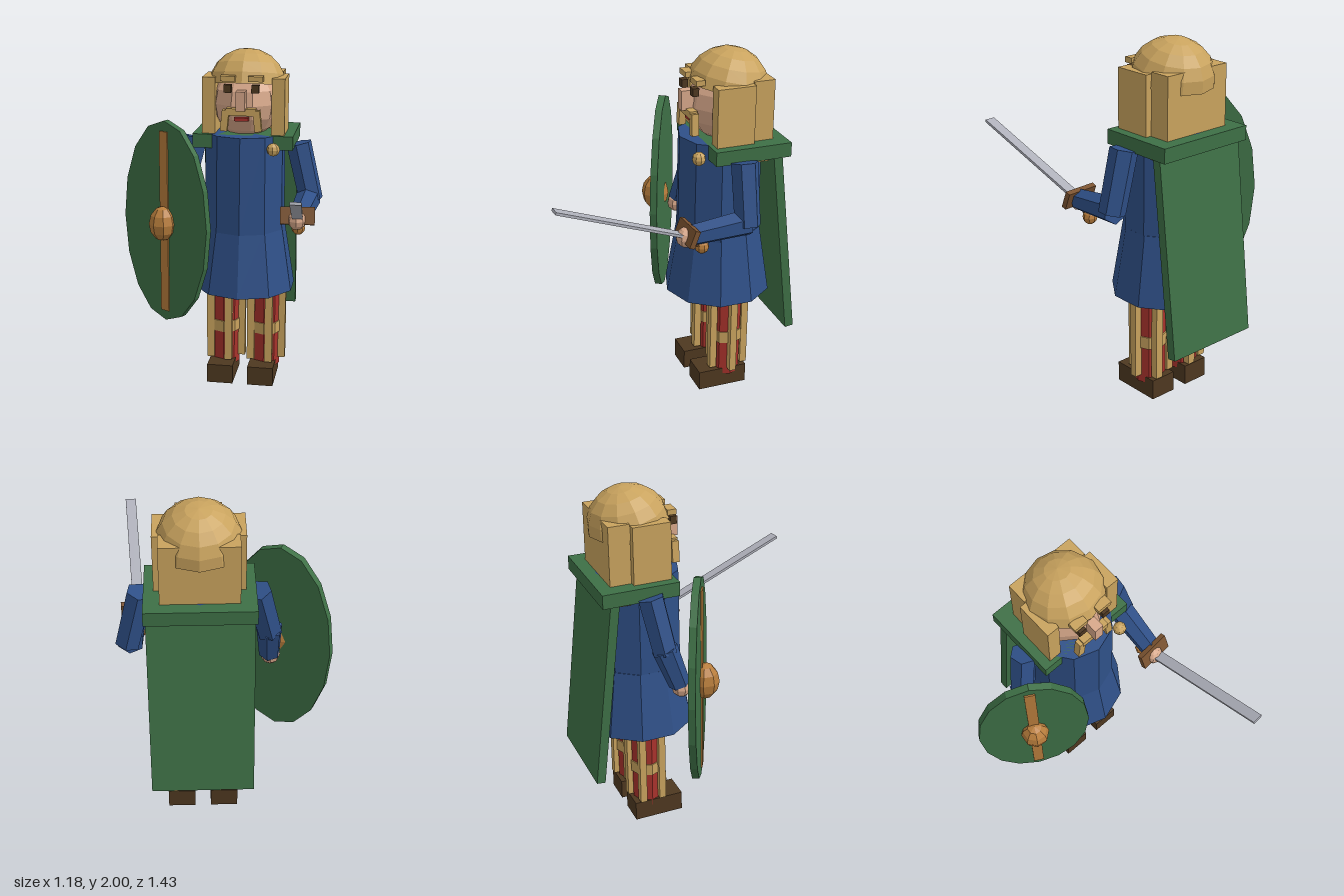
import * as THREE from 'three';

const mat = (name, color, extra = {}) => {
  const m = new THREE.MeshStandardMaterial({ color, flatShading: true, ...extra });
  m.name = name;
  return m;
};

export function createModel() {
  const blue = mat('tunic blue', 0x2f5088);
  const green = mat('cloak green', 0x3e7046);
  const red = mat('trouser red', 0xa8322c);
  const tan = mat('blond', 0xc9a35e, { side: THREE.DoubleSide });
  const skin = mat('skin', 0xd8a88a);
  const bronze = mat('bronze', 0xb87d3c);
  const brown = mat('guard brown', 0x7a5230);
  const dark = mat('dark leather', 0x4e3820);
  const steel = mat('steel', 0xaeb0ba);

  const model = new THREE.Group();
  const CX = 0.135; // body axis

  const add = (name, geo, material, x = 0, y = 0, z = 0, parent = model) => {
    const m = new THREE.Mesh(geo, material);
    m.name = name;
    m.position.set(x, y, z);
    parent.add(m);
    return m;
  };
  const box = (name, material, w, h, d, x, y, z, parent) =>
    add(name, new THREE.BoxGeometry(w, h, d), material, x, y, z, parent);
  const ball = (name, material, r, x, y, z, parent, ws = 8, hs = 6) =>
    add(name, new THREE.SphereGeometry(r, ws, hs), material, x, y, z, parent);
  // tapered six-sided limb between two points
  const limb = (name, material, a, b, ra, rb) => {
    const p = new THREE.Vector3(...a), q = new THREE.Vector3(...b);
    const dir = q.clone().sub(p);
    const m = add(name, new THREE.CylinderGeometry(rb, ra, dir.length(), 6), material);
    m.position.copy(p).add(q).multiplyScalar(0.5);
    m.quaternion.setFromUnitVectors(new THREE.Vector3(0, 1, 0), dir.normalize());
    return m;
  };

  // Tunic
  add('tunic body', new THREE.CylinderGeometry(0.235, 0.24, 0.57, 10), blue, CX, 1.245, -0.34);
  add('tunic skirt', new THREE.CylinderGeometry(0.24, 0.305, 0.39, 10), blue, CX, 0.785, -0.345);

  // Legs with gold stripes, bands and boots
  for (const [side, x] of [['right', 0.02], ['left', 0.265]]) {
    const leg = new THREE.Group();
    leg.name = side + ' leg';
    leg.position.set(x, 0, -0.355);
    model.add(leg);
    add('trouser', new THREE.CylinderGeometry(0.092, 0.086, 0.55, 8), red, 0, 0.355, 0, leg);
    add('leg band', new THREE.CylinderGeometry(0.096, 0.096, 0.07, 8), tan, 0, 0.33, 0, leg);
    for (let k = 0; k < 5; k++) {
      const a = (k * Math.PI * 2) / 5;
      box('trouser stripe', tan, 0.045, 0.48, 0.04, 0.1 * Math.cos(a), 0.365, 0.1 * Math.sin(a), leg);
    }
    box('boot', dark, 0.155, 0.115, 0.29, -0.008, 0.0575, 0.04, leg);
  }

  // Cloak
  box('cloak collar', green, 0.58, 0.08, 0.435, CX, 1.49, -0.42);
  const cape = box('cape', green, 0.56, 1.15, 0.05, CX, 0.945, -0.625);
  cape.rotation.x = 0.115;
  ball('brooch', tan, 0.038, 0.32, 1.465, -0.145);

  // Head and hair
  ball('head', skin, 0.2, CX, 1.7, -0.36, model, 10, 8).scale.y = 1.05;
  const cap = add('hair cap',
    new THREE.SphereGeometry(0.225, 12, 5, 0, Math.PI * 2, 0, Math.PI / 2), tan, CX, 1.79, -0.38);
  cap.scale.y = 0.95;
  cap.rotation.x = -0.2;
  box('back hair', tan, 0.41, 0.46, 0.12, CX, 1.635, -0.505);
  for (const s of [-1, 1]) {
    const X = CX + s * 0.2;
    box('side hair', tan, 0.075, 0.325, 0.215, X, 1.692, -0.335);
    box('eye', dark, 0.043, 0.045, 0.035, CX + s * 0.079, 1.805, -0.157);
    box('eyebrow', tan, 0.085, 0.03, 0.05, CX + s * 0.079, 1.86, -0.175);
    const tip = box('moustache end', tan, 0.04, 0.12, 0.04, CX + s * 0.093, 1.625, -0.152);
    tip.rotation.z = s * 0.1;
  }
  box('moustache', tan, 0.17, 0.04, 0.045, CX, 1.675, -0.152);
  box('nose', skin, 0.053, 0.11, 0.07, CX, 1.74, -0.14);
  box('mouth', red, 0.08, 0.02, 0.03, CX, 1.63, -0.167);

  // Sword arm
  limb('left upper arm', blue, [0.445, 1.465, -0.355], [0.525, 1.13, -0.35], 0.075, 0.072);
  limb('left forearm', blue, [0.51, 1.145, -0.36], [0.485, 1.105, -0.04], 0.075, 0.06);
  ball('left hand', skin, 0.055, 0.475, 1.095, -0.015);

  // Sword, blade along local z
  const sword = new THREE.Group();
  sword.name = 'sword';
  sword.position.set(0.477, 1.1, -0.03);
  sword.lookAt(0.535, 1.39, 0.715);
  model.add(sword);
  box('blade', steel, 0.06, 0.015, 0.79, 0, 0, 0.405, sword);
  box('crossguard', brown, 0.195, 0.1, 0.03, 0, 0.015, 0.015, sword);
  limb('grip', brown, [0.477, 1.1, -0.03], [0.475, 1.03, -0.1], 0.022, 0.022);
  ball('pommel', bronze, 0.04, 0.475, 1.025, -0.108);

  // Shield arm
  limb('right upper arm', blue, [-0.165, 1.475, -0.375], [-0.235, 1.17, -0.325], 0.075, 0.072);
  limb('right forearm', blue, [-0.235, 1.2, -0.33], [-0.245, 0.97, -0.25], 0.072, 0.06);
  ball('right hand', skin, 0.055, -0.25, 0.95, -0.24);

  // Oval shield, facing local z
  const shield = new THREE.Group();
  shield.name = 'shield';
  shield.position.set(-0.303, 1.003, -0.167);
  shield.rotation.y = -0.51;
  model.add(shield);
  const disc = new THREE.CylinderGeometry(1, 1, 0.04, 16).rotateX(Math.PI / 2).scale(0.316, 0.607, 1);
  add('shield board', disc, green, 0, 0, 0, shield);
  box('shield spine', bronze, 0.06, 1.09, 0.016, 0, 0, 0.02, shield);
  ball('shield boss', bronze, 0.08, 0, 0, 0.04, shield).scale.y = 1.3;

  return model;
}
